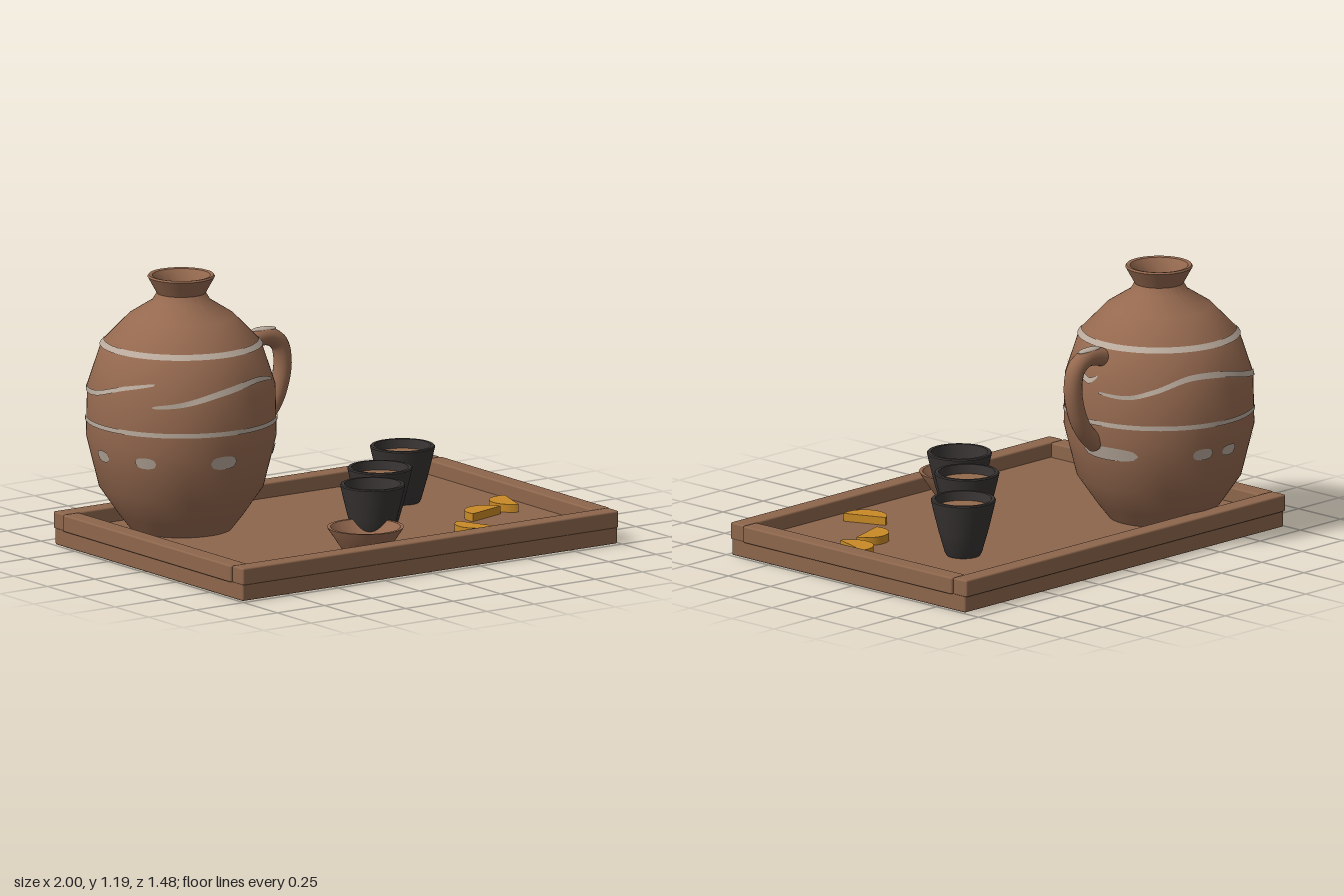
import * as THREE from 'three';
import { toCreasedNormals } from 'three/addons/utils/BufferGeometryUtils.js';
import { RoundedBoxGeometry } from 'three/addons/geometries/RoundedBoxGeometry.js';

const material = (name, color) => Object.assign(new THREE.MeshStandardMaterial({ color }), { name });

const FLOOR = 0.08;
const JUG = new THREE.Vector3(-0.555, 0, -0.335);
const BODY = [[0.22, FLOOR], [0.27, 0.145], [0.355, 0.268], [0.41, 0.49], [0.405, 0.71],
  [0.345, 0.893], [0.23, 1.013], [0.125, 1.08], [0.105, 1.115]];

export function createModel() {
  const model = new THREE.Group();
  const clay = material('clay', 0x95694f);
  const wood = material('wood', 0x8d664c);
  const paint = material('slip paint', 0xb9aa9c);
  const glaze = material('dark glaze', 0x383433);
  const tea = material('tea', 0x936a4c);
  const peel = material('orange peel', 0xc98a26);

  const add = (parent, name, geometry, mat, x = 0, y = 0, z = 0) => {
    const mesh = new THREE.Mesh(geometry, mat);
    mesh.name = name;
    mesh.position.set(x, y, z);
    parent.add(mesh);
    return mesh;
  };
  const group = (name, x = 0, y = 0, z = 0) => {
    const g = new THREE.Group();
    g.name = name;
    g.position.set(x, y, z);
    model.add(g);
    return g;
  };
  const turned = (profile, segments = 64) => toCreasedNormals(
    new THREE.LatheGeometry(profile.map(([r, y]) => new THREE.Vector2(r, y)), segments), 0.7);
  const disc = (r) => new THREE.CircleGeometry(r, 48).rotateX(-Math.PI / 2);

  // Tray: base board with four raised rails
  const tray = group('tray');
  const board = (name, w, h, d, x, y, z) =>
    add(tray, name, new RoundedBoxGeometry(w, h, d, 2, 0.008), wood, x, y, z);
  board('trayBase', 1.98, 0.08, 1.39, 0, 0.04, 0.035);
  board('frontRail', 1.985, 0.075, 0.082, 0, 0.108, 0.695);
  board('backRail', 1.985, 0.075, 0.082, 0, 0.108, -0.63);
  for (const s of [-1, 1]) board('sideRail', 0.085, 0.075, 1.245, s * 0.9575, 0.1075, 0.0325);

  // Jug body, flared mouth and inner floor
  const jug = group('jug', JUG.x, 0, JUG.z);
  add(jug, 'jugBody', turned(BODY, 96), clay);
  add(jug, 'jugMouth', turned([[0.105, 1.112], [0.145, 1.185], [0.14, 1.193], [0.125, 1.19],
    [0.095, 1.14], [0.09, 1.08]]), clay);
  add(jug, 'jugInside', disc(0.095), clay, 0, 1.085, 0);
  add(jug, 'jugBottom', disc(0.22).rotateX(Math.PI), clay, 0, FLOOR, 0);

  // Handle, a bent tube
  const bend = new THREE.CatmullRomCurve3([[-0.24, 0.83], [-0.18, 0.855], [-0.1, 0.862], [-0.04, 0.825],
    [-0.02, 0.74], [-0.045, 0.62], [-0.09, 0.54], [-0.16, 0.47]]
    .map(([x, y]) => new THREE.Vector3(x - JUG.x, y, 0)));
  add(jug, 'handle', new THREE.TubeGeometry(bend, 48, 0.04, 16), clay);

  // Paint on the handle crest
  const crest = new THREE.SphereGeometry(1, 24, 12);
  crest.scale(0.065, 0.012, 0.024);
  add(jug, 'handlePaint', crest, paint, -0.12 - JUG.x, 0.894, 0).rotation.z = -0.02;

  // Brush strokes that follow the jug wall; angle 0 faces front, 90 faces +x
  const wall = (y) => {
    const i = BODY.findIndex((p) => p[1] >= y);
    const [r0, y0] = BODY[i - 1], [r1, y1] = BODY[i];
    return THREE.MathUtils.lerp(r0, r1, (y - y0) / (y1 - y0)) + 0.005;
  };
  const stroke = (name, from, to, height, half) => {
    const n = Math.max(12, Math.ceil((to - from) / 3));
    const pos = [], index = [];
    for (let i = 0; i <= n; i++) {
      const t = i / n, a = THREE.MathUtils.degToRad(from + (to - from) * t);
      for (const s of [-1, 1]) {
        const y = height(t) + s * half(t);
        pos.push(Math.sin(a) * wall(y), y, Math.cos(a) * wall(y));
      }
      if (i < n) index.push(2 * i, 2 * i + 2, 2 * i + 3, 2 * i, 2 * i + 3, 2 * i + 1);
    }
    const g = new THREE.BufferGeometry();
    g.setAttribute('position', new THREE.Float32BufferAttribute(pos, 3));
    g.setIndex(index);
    g.computeVertexNormals();
    add(jug, name, g, paint);
  };
  stroke('upperBand', 0, 360, () => 0.9, () => 0.011);
  stroke('lowerBand', 0, 360, () => 0.57, () => 0.01);

  // Wavy strokes: angle and height pairs
  const waves = [
    [[-53, 0.69], [-35, 0.705], [-10, 0.745], [15, 0.772], [30, 0.77], [43, 0.752]],
    [[72, 0.775], [79, 0.755], [85, 0.745], [91, 0.77]],
    [[94, 0.705], [114, 0.7], [131, 0.73], [154, 0.78], [180, 0.775], [205, 0.74], [235, 0.705],
      [260, 0.71], [285, 0.755], [307, 0.785]],
  ];
  for (const w of waves) {
    const curve = new THREE.SplineCurve(w.map(([a, y]) => new THREE.Vector2(a, y)));
    const heightAt = (t) => {
      const a = THREE.MathUtils.lerp(w[0][0], w.at(-1)[0], t);
      let lo = 0, hi = 1;
      for (let k = 0; k < 20; k++) {
        const m = (lo + hi) / 2;
        if (curve.getPoint(m).x < a) lo = m; else hi = m;
      }
      return curve.getPoint(lo).y;
    };
    stroke('wavyStroke', w[0][0], w.at(-1)[0], heightAt, (t) => 0.004 + 0.009 * Math.sqrt(Math.sin(Math.PI * Math.min(t, 0.999))));
  }

  // Painted spots: centre angle, half angle, half height
  for (const [a, w, h] of [[-58, 7, 0.025], [-8, 9, 0.03], [46, 4, 0.023], [101, 20, 0.03],
    [162, 7, 0.026], [182, 6, 0.025], [225, 8, 0.028], [268, 6, 0.026]]) {
    stroke('paintSpot', a - w, a + w, () => 0.44, (t) => h * Math.pow(Math.max(0, 1 - (2 * t - 1) ** 2), 0.35));
  }

  // Three cups, two of them filled
  for (const [x, z, filled] of [[-0.04, 0.36, false], [0.18, 0.105, true], [0.51, -0.19, true]]) {
    const cup = group('cup', x, FLOOR, z);
    add(cup, 'cupWall', turned([[0, 0], [0.072, 0], [0.08, 0.012], [0.108, 0.11], [0.13, 0.2],
      [0.14, 0.245], [0.136, 0.25], [0.122, 0.25], [0.115, 0.2], [0.096, 0.1], [0.085, 0.03], [0, 0.03]]), glaze);
    if (filled) add(cup, 'cupTea', disc(0.118), tea, 0, 0.21, 0);
  }

  // Small dish with dried leaves
  const dish = group('dish', -0.185, FLOOR, 0.51);
  add(dish, 'dishBowl', turned([[0, 0], [0.095, 0], [0.125, 0.045], [0.162, 0.1], [0.165, 0.107], [0.15, 0.107],
    [0.118, 0.06], [0.09, 0.025], [0, 0.02]]), clay);
  for (let i = 0; i < 7; i++) {
    const leaf = new THREE.SphereGeometry(1, 10, 6);
    leaf.scale(0.046, 0.007, 0.013).translate(0.05, 0, 0);
    const mesh = add(dish, 'driedLeaf', leaf, clay, 0, 0.036 + (i % 3) * 0.005, 0);
    mesh.rotation.set(0, i * 0.9 + (i % 2) * 0.2, 0.12);
  }

  // Orange slices: half discs lying flat, turned about the middle of the straight edge
  const half = new THREE.Shape();
  half.absarc(0, 0, 0.097, 0, Math.PI, false);
  half.closePath();
  const slice = toCreasedNormals(new THREE.ExtrudeGeometry(half,
    { depth: 0.035, bevelEnabled: false, curveSegments: 20 }).rotateX(-Math.PI / 2), 0.6);
  for (const [x, z, turn] of [[0.62, 0.28, 0.3], [0.825, 0.176, 1.26], [0.43, 0.475, 1.96]]) {
    add(model, 'orangeSlice', slice, peel, x, FLOOR, z).rotation.y = turn;
  }

  return model;
}
